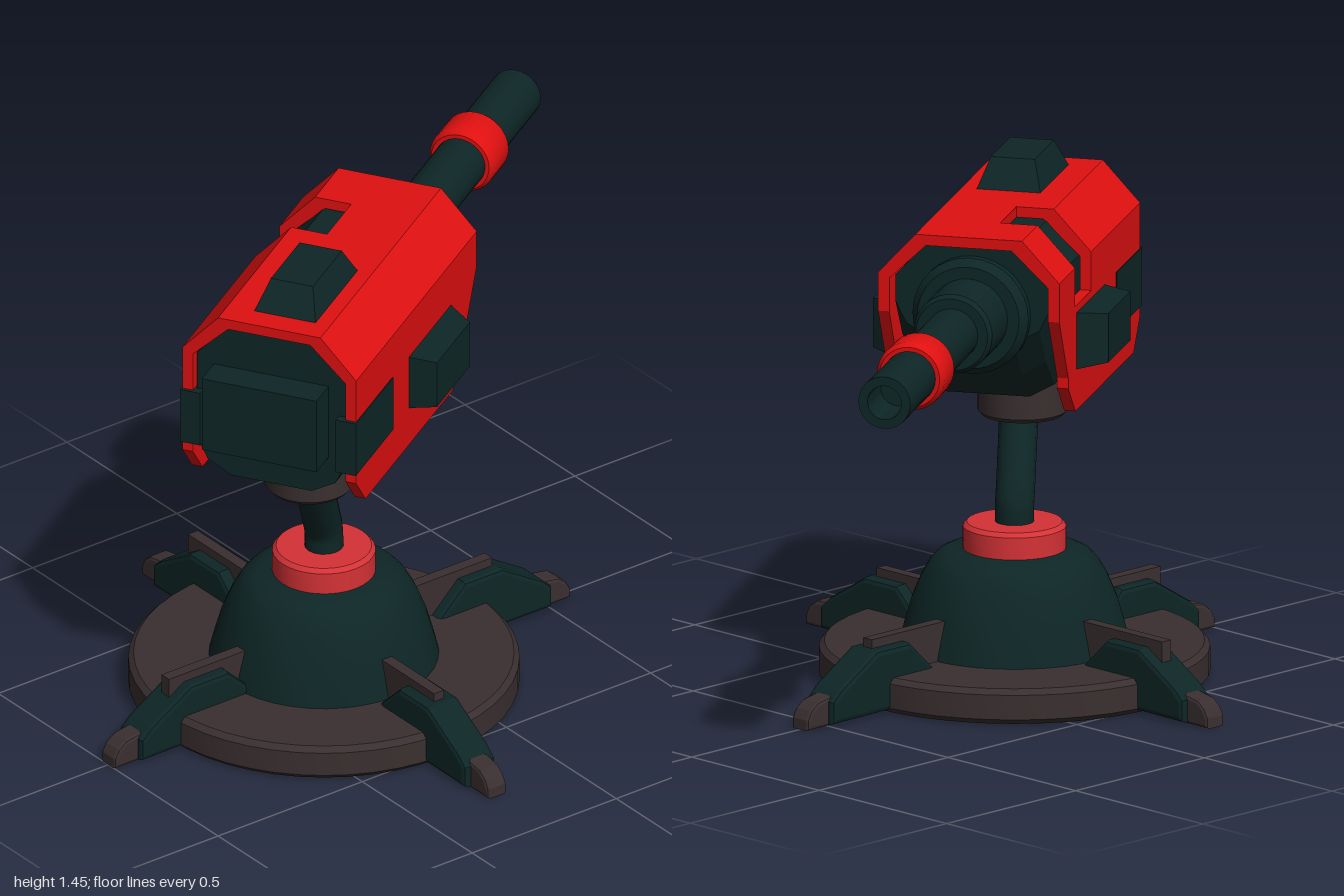
import * as THREE from 'three';
import { toCreasedNormals } from 'three/addons/utils/BufferGeometryUtils.js';
import { ConvexGeometry } from 'three/addons/geometries/ConvexGeometry.js';

const material = (name, color) => new THREE.MeshStandardMaterial({ name, color });

export function createModel() {
  const red = material('armour red', 0xe01010);
  const paleRed = material('collar red', 0xd53236);
  const dark = material('dark teal', 0x0e2626);
  const brown = material('dark brown', 0x3a2f30);

  const model = new THREE.Group();
  model.name = 'turret';

  const add = (parent, name, geometry, mat, x = 0, y = 0, z = 0) => {
    const mesh = new THREE.Mesh(geometry, mat);
    mesh.name = name;
    mesh.position.set(x, y, z);
    parent.add(mesh);
    return mesh;
  };
  const shape = (pts) => new THREE.Shape(pts.map(([x, y]) => new THREE.Vector2(x, y)));
  const lathe = (pts, segments = 32, crease = 0.6) => toCreasedNormals(
    new THREE.LatheGeometry(pts.map(([r, y]) => new THREE.Vector2(r, y)), segments), crease);
  // flat outline with thickness centred on z, optional bevel
  const plate = (pts, thick, bevel = 0) => {
    const g = new THREE.ExtrudeGeometry(shape(pts), {
      depth: thick - 2 * bevel, bevelEnabled: bevel > 0, bevelSize: bevel,
      bevelThickness: bevel, bevelOffset: -bevel, bevelSegments: 2,
    });
    return g.translate(0, 0, bevel - thick / 2);
  };
  // cross-section given as (z, y), swept along x from x0 to x1
  const sweep = (pts, x0, x1) => new THREE.ExtrudeGeometry(
    shape(pts.map(([z, y]) => [-z, y])), { depth: x1 - x0, bevelEnabled: false })
    .rotateY(Math.PI / 2).translate(x0, 0, 0);
  // hull between two rectangles [x0, x1, z0, z1] at heights y0 and y1
  const frustum = (a, y0, b, y1) => {
    const pts = [];
    for (const [[x0, x1, z0, z1], y] of [[a, y0], [b, y1]])
      for (const x of [x0, x1]) for (const z of [z0, z1]) pts.push(new THREE.Vector3(x, y, z));
    return new ConvexGeometry(pts);
  };

  // ---- Base ----
  const base = new THREE.Group();
  base.name = 'base';
  base.position.x = -0.252;
  model.add(base);

  add(base, 'baseDisc', lathe([[0, 0], [0.525, 0], [0.54, 0.015], [0.54, 0.085], [0.525, 0.1], [0, 0.1]], 48), brown);
  add(base, 'dome', lathe([[0.32, 0.09], [0.305, 0.15], [0.285, 0.22], [0.258, 0.285], [0.235, 0.325],
    [0.212, 0.35], [0.18, 0.365], [0, 0.367]], 40, 1), dark);
  add(base, 'domeCollar', lathe([[0.143, 0.36], [0.143, 0.428], [0.132, 0.44], [0, 0.44]], 32), paleRed);

  // four legs, each with a foot tip and a thin fin
  const legs = [
    { turn: 0, legShift: 0.042, finShift: 0.01 },
    { turn: Math.PI / 2, legShift: 0, finShift: 0.036 },
    { turn: Math.PI, legShift: -0.042, finShift: -0.01 },
    { turn: -Math.PI / 2, legShift: 0, finShift: -0.036 },
  ];
  for (const { turn, legShift, finShift } of legs) {
    const leg = new THREE.Group();
    leg.name = 'leg';
    leg.rotation.y = turn;
    base.add(leg);
    add(leg, 'legBody', plate([[0.22, 0.01], [0.712, 0.006], [0.712, 0.07], [0.68, 0.1], [0.54, 0.185],
      [0.41, 0.185], [0.31, 0.09], [0.22, 0.09]], 0.108, 0.014), dark, legShift);
    add(leg, 'footTip', plate([[0.69, 0], [0.79, 0], [0.79, 0.03], [0.776, 0.055], [0.75, 0.075],
      [0.69, 0.085]], 0.066, 0.01), brown, legShift);
    add(leg, 'legFin', new THREE.BoxGeometry(0.36, 0.11, 0.034), brown, 0.38 + finShift, 0.155);
  }

  // ---- Bent arm ----
  const arm = new THREE.CurvePath();
  const [a, b, c, d, e] = [[0, 0.42, 0], [0, 0.47, 0], [0, 0.5, 0], [-0.018, 0.535, 0.014], [-0.118, 0.75, 0.1]]
    .map((p) => new THREE.Vector3(...p));
  arm.add(new THREE.LineCurve3(a, b));
  arm.add(new THREE.QuadraticBezierCurve3(b, c, d));
  arm.add(new THREE.LineCurve3(d, e));
  add(base, 'arm', new THREE.TubeGeometry(arm, 24, 0.054, 16), dark);

  // ---- Gun head, pointing along its own +x ----
  const head = new THREE.Group();
  head.name = 'gunHead';
  head.position.set(-0.247, 0, 0.013);
  head.rotation.y = THREE.MathUtils.degToRad(31);
  model.add(head);

  add(head, 'headMount', lathe([[0, 0.71], [0.113, 0.71], [0.124, 0.722], [0.124, 0.88], [0, 0.88]]), brown, -0.14);

  // inner core, its front underside cut back
  const corePoints = [];
  for (const [x, low] of [[-0.425, 0.865], [0.25, 0.865], [0.34, 0.95], [0.415, 1.06]])
    for (const s of [-1, 1])
      for (const [z, y] of [[0.12, low], [0.19, low + 0.04], [0.22, low + 0.1], [0.22, 1.235], [0.13, 1.33]])
        corePoints.push(new THREE.Vector3(x, y, s * z));
  add(head, 'core', new ConvexGeometry(corePoints), dark);

  // roof armour: full sections around an opening on one side
  const outer = [[0.258, 1.14], [0.258, 1.25], [0.152, 1.365]];
  const inner = [[0.122, 1.335], [0.226, 1.235], [0.226, 1.14]];
  const flip = (pts) => pts.map(([z, y]) => [-z, y]).reverse();
  const fullRoof = [...outer, ...flip(outer), ...flip(inner), ...inner];
  const cutRoof = [...outer, [-0.045, 1.365], [-0.045, 1.335], ...inner];
  add(head, 'roofRear', sweep(fullRoof, -0.44, 0.105), red);
  add(head, 'roofMiddle', sweep(cutRoof, 0.105, 0.285), red);
  add(head, 'roofFront', sweep(fullRoof, 0.285, 0.46), red);

  // mirrored sides
  const sideOutline = [[-0.44, 1.14], [-0.44, 1.12], [-0.17, 1.12], [-0.17, 0.955], [-0.44, 0.955], [-0.44, 0.925],
    [-0.37, 0.84], [0.28, 0.84], [0.36, 0.925], [0.36, 0.955], [0.46, 1.14]];
  for (const s of [-1, 1]) {
    add(head, 'sideArmour', plate(sideOutline, 0.032), red, 0, 0, s * 0.242);
    add(head, 'sideVent', new THREE.BoxGeometry(0.28, 0.165, 0.06), dark, -0.31, 1.0375, s * 0.231);
    const pod = frustum([-0.05, 0.28, -0.083, 0.083], 0.24, [-0.03, 0.215, -0.07, 0.07], 0.335);
    const mesh = add(head, 'sidePod', pod, dark, 0, 1.0375, 0);
    mesh.rotation.x = s * Math.PI / 2;
  }

  add(head, 'roofHatch', frustum([-0.37, -0.05, -0.075, 0.11], 1.36, [-0.315, -0.1, -0.045, 0.08], 1.447), dark);

  // rear block
  add(head, 'rearBlock', new THREE.BoxGeometry(0.1, 0.225, 0.34), dark, -0.465, 1.095, 0);

  // barrel with open muzzle
  const barrel = new THREE.Group();
  barrel.name = 'barrel';
  barrel.position.y = 1.137;
  barrel.rotation.z = -Math.PI / 2;
  head.add(barrel);
  add(barrel, 'barrelFlange', lathe([[0.165, 0.4], [0.165, 0.44], [0.145, 0.465], [0, 0.465]]), dark);
  add(barrel, 'barrelSleeve', lathe([[0.112, 0.44], [0.112, 0.635], [0.102, 0.648], [0, 0.648]]), dark);
  add(barrel, 'barrelTube', lathe([[0.074, 0.6], [0.074, 1.4], [0.048, 1.4], [0.048, 1.25], [0, 1.25]]), dark);
  add(barrel, 'barrelRing', lathe([[0.07, 0.985], [0.086, 0.985], [0.097, 1.002], [0.097, 1.103],
    [0.086, 1.12], [0.07, 1.12]]), red);

  return model;
}
